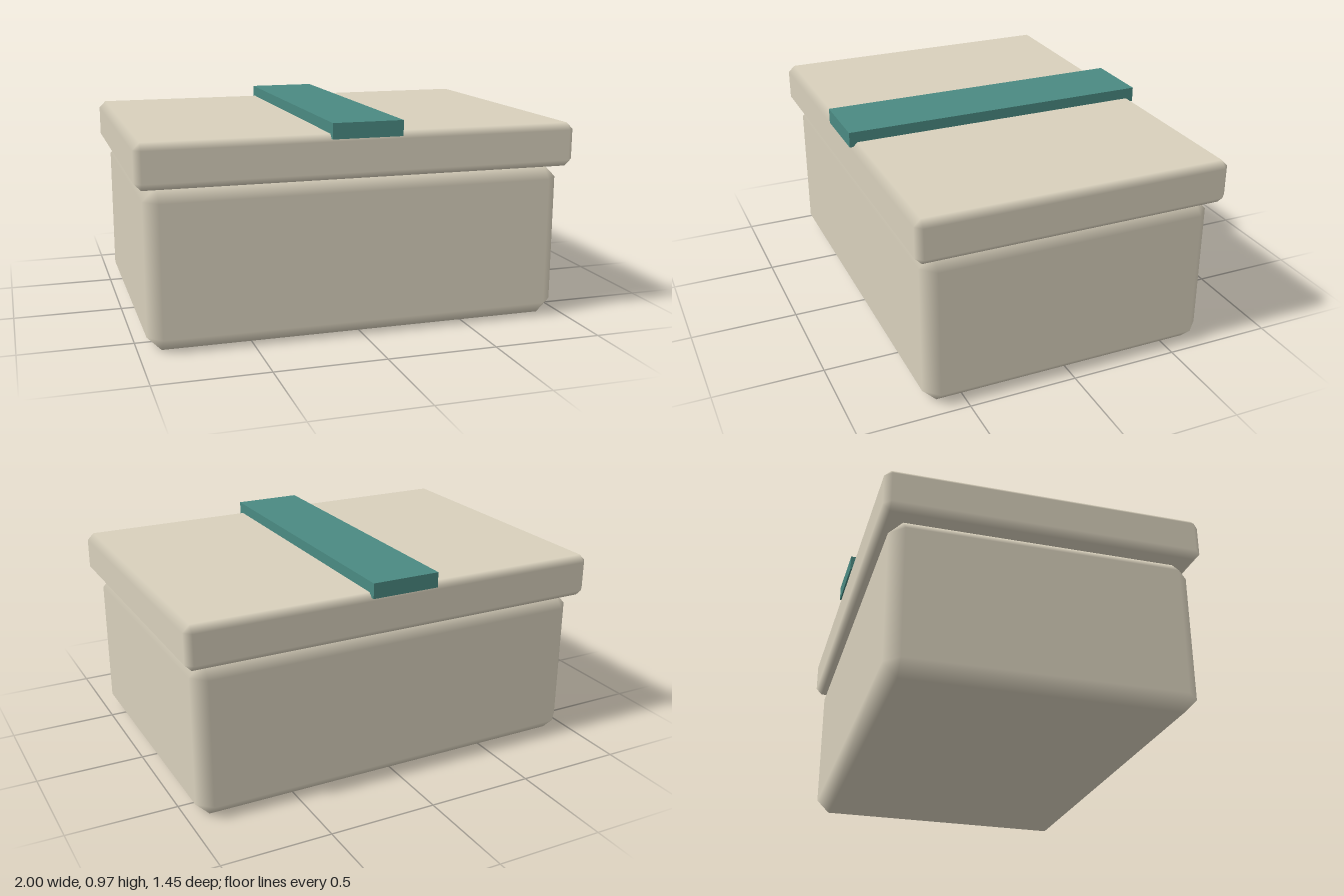
import * as THREE from 'three';
import { ConvexGeometry } from 'three/addons/geometries/ConvexGeometry.js';

// Box with single-cut chamfers: flat main faces, softly shaded bevels
function chamferBox(w, h, d, c) {
  const half = [w / 2, h / 2, d / 2];
  const points = [];
  for (const sx of [-1, 1]) for (const sy of [-1, 1]) for (const sz of [-1, 1]) {
    const s = [sx, sy, sz];
    for (let axis = 0; axis < 3; axis++) {
      points.push(new THREE.Vector3(...half.map((v, i) => s[i] * (i === axis ? v : v - c))));
    }
  }
  const geo = new ConvexGeometry(points);
  const pos = geo.attributes.position;
  const nor = geo.attributes.normal;
  // Every corner point lies on exactly one main face and takes its normal
  for (let i = 0; i < pos.count; i++) {
    const p = [pos.getX(i), pos.getY(i), pos.getZ(i)];
    nor.setXYZ(i, ...p.map((v, k) => (Math.abs(v) > half[k] - c / 2 ? Math.sign(v) : 0)));
  }
  return geo;
}

export function createModel() {
  const model = new THREE.Group();
  model.name = 'box';
  const cream = new THREE.MeshStandardMaterial({ color: 0xd8d0bc });
  cream.name = 'cream';
  const teal = new THREE.MeshStandardMaterial({ color: 0x4a8a82 });
  teal.name = 'teal';

  const add = (name, geo, mat, y) => {
    const mesh = new THREE.Mesh(geo, mat);
    mesh.name = name;
    mesh.position.y = y;
    model.add(mesh);
  };

  // Container, overhanging lid and the band across its top
  add('body', chamferBox(1.92, 0.72, 1.36, 0.063), cream, 0.36);
  add('lid', chamferBox(2, 0.2, 1.44, 0.031), cream, 0.82);
  add('band', new THREE.BoxGeometry(0.32, 0.07, 1.45), teal, 0.935);
  return model;
}
